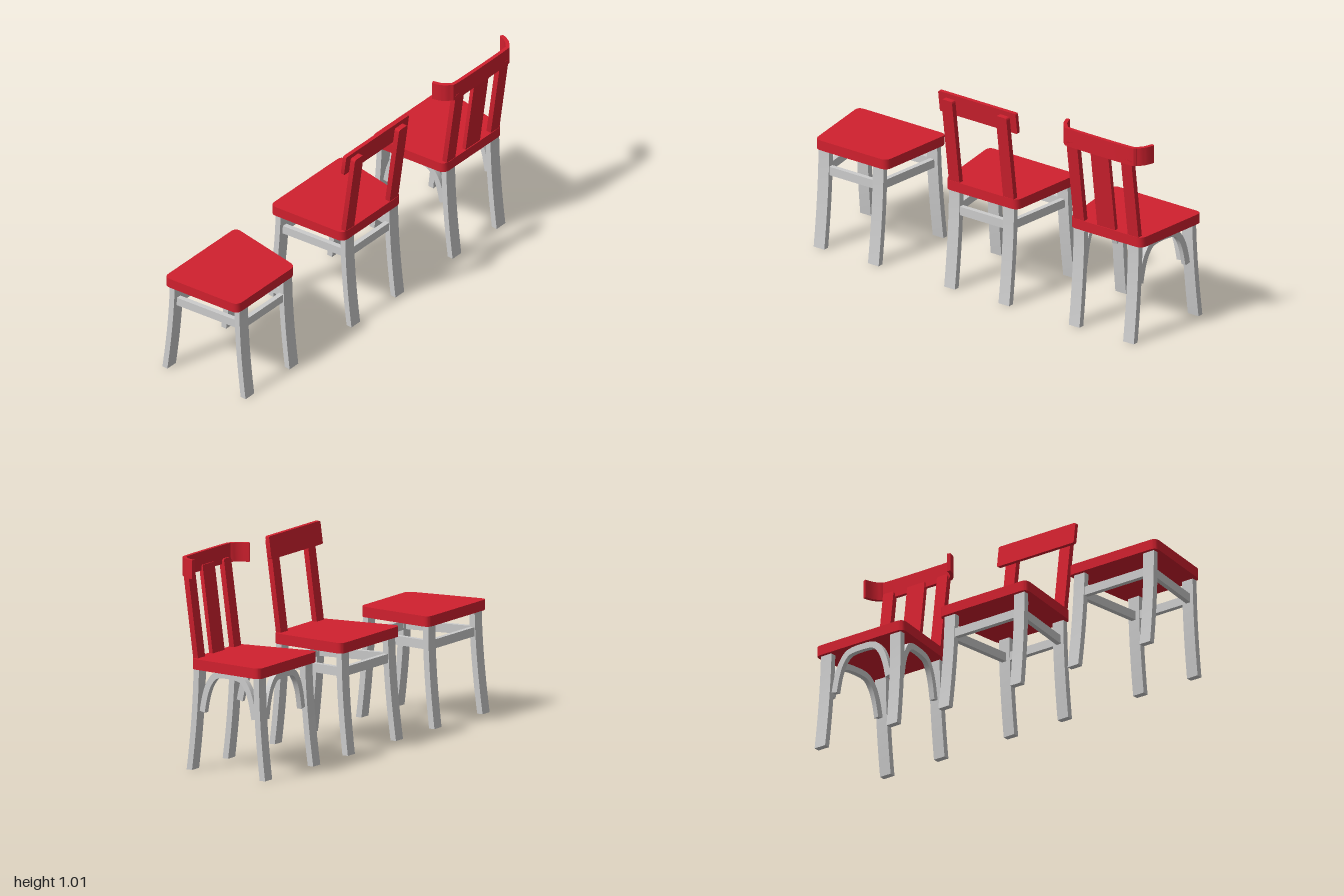
import * as THREE from 'three';
import { toCreasedNormals } from 'three/addons/utils/BufferGeometryUtils.js';

const grey = new THREE.MeshStandardMaterial({ color: 0xcccccc });
const red = new THREE.MeshStandardMaterial({ color: 0xd0202e });

function add(parent, name, geometry, material) {
  const mesh = new THREE.Mesh(toCreasedNormals(geometry, 0.6), material);
  mesh.name = name;
  parent.add(mesh);
  return mesh;
}

const extrude = (shape, depth) =>
  new THREE.ExtrudeGeometry(shape, { depth, bevelEnabled: false, curveSegments: 6 });

// Polygon with every corner rounded by distance r
function roundedShape(corners, r) {
  const pts = corners.map(([x, y]) => new THREE.Vector2(x, y));
  const shape = new THREE.Shape();
  const toward = (a, b) => b.clone().sub(a).setLength(r).add(a);
  pts.forEach((p, i) => {
    const a = toward(p, pts[(i + pts.length - 1) % pts.length]);
    const b = toward(p, pts[(i + 1) % pts.length]);
    if (i === 0) shape.moveTo(a.x, a.y);
    else shape.lineTo(a.x, a.y);
    shape.quadraticCurveTo(p.x, p.y, b.x, b.y);
  });
  shape.closePath();
  return shape;
}

// Band of constant thickness following a mirrored half profile
function bandShape(half, thickness) {
  const pts = [...half, ...half.map(([x, y]) => [-x, y]).reverse()];
  const curve = new THREE.SplineCurve(pts.map(([x, y]) => new THREE.Vector2(x, y)));
  const outer = [], inner = [];
  for (let i = 0; i <= 32; i++) {
    const p = curve.getPoint(i / 32), t = curve.getTangent(i / 32);
    const n = new THREE.Vector2(-t.y, t.x).multiplyScalar(thickness / 2);
    outer.push(p.clone().add(n));
    inner.push(p.clone().sub(n));
  }
  return new THREE.Shape([...outer, ...inner.reverse()]);
}

function addSeat(chair) {
  const shape = roundedShape([[-0.258, -0.22], [0.258, -0.22], [0.208, 0.19], [-0.208, 0.19]], 0.035);
  const g = extrude(shape, 0.05);
  g.rotateX(Math.PI / 2).translate(0, 0.535, 0);
  add(chair, 'seat', g, red);
}

// Legs sweep outward toward the floor
function legGeometry(zTop, flare) {
  const edge = [], other = [];
  for (let i = 0; i <= 8; i++) {
    const t = i / 8, y = 0.49 * (1 - t), z = zTop + flare * t ** 1.7;
    edge.push(new THREE.Vector2(z - 0.015, y));
    other.push(new THREE.Vector2(z + 0.015, y));
  }
  return extrude(new THREE.Shape([...edge, ...other.reverse()]), 0.062)
    .rotateY(-Math.PI / 2).translate(0.031, 0, 0);
}

function addLegs(chair) {
  for (const side of [-1, 1]) {
    add(chair, 'frontLeg', legGeometry(0.171, 0.038), grey).position.x = side * 0.158;
    const g = legGeometry(-0.189, -0.039);
    const p = g.attributes.position;
    for (let i = 0; i < p.count; i++) p.setX(i, p.getX(i) + side * (0.49 - p.getY(i)) * 0.016);
    add(chair, 'backLeg', g, grey).position.x = side * 0.203;
  }
}

const SIDE_ANGLE = 0.13;

function addStretchers(chair) {
  const bar = (name, length) => add(chair, name, new THREE.BoxGeometry(length, 0.043, 0.024), grey);
  bar('frontStretcher', 0.29).position.set(0, 0.39, 0.172);
  bar('backStretcher', 0.38).position.set(0, 0.39, -0.19);
  for (const side of [-1, 1]) {
    const m = bar('sideStretcher', 0.35);
    m.position.set(side * 0.182, 0.39, -0.01);
    m.rotation.y = Math.PI / 2 - side * SIDE_ANGLE;
  }
}

// Bent braces under the sides and the back edge
function addArches(chair) {
  const half = [[-0.157, 0.28], [-0.138, 0.365], [-0.108, 0.43], [-0.06, 0.466]];
  const arch = (name) =>
    add(chair, name, extrude(bandShape(half, 0.031), 0.026).translate(0, 0, -0.013), grey);
  arch('backArch').position.z = -0.19;
  for (const side of [-1, 1]) {
    const m = arch('sideArch');
    m.position.set(side * 0.182, 0, -0.01);
    m.rotation.y = Math.PI / 2 - side * SIDE_ANGLE;
  }
}

// Upright board that leans with the backrest
function addBoard(chair, name, x, halfWidth, y0, y1, z, depth, r) {
  const shape = roundedShape(
    [[x - halfWidth, y0], [x + halfWidth, y0], [x + halfWidth, y1], [x - halfWidth, y1]], r);
  const g = extrude(shape, depth);
  const p = g.attributes.position;
  for (let i = 0; i < p.count; i++) p.setZ(i, p.getZ(i) + z + (p.getY(i) - 0.53) * 0.136);
  add(chair, name, g, red);
}

function addPosts(chair, top) {
  for (const side of [-1, 1]) addBoard(chair, 'backPost', side * 0.158, 0.031, 0.515, top, 0.16, 0.027, 0.012);
}

function makeChair(name, x) {
  const chair = new THREE.Group();
  chair.name = name;
  chair.position.x = x;
  addSeat(chair);
  addLegs(chair);
  return chair;
}

export function createModel() {
  const model = new THREE.Group();
  model.name = 'seatingSet';

  const stool = makeChair('stool', -0.742);
  addStretchers(stool);

  // Chair with a flat top board
  const plain = makeChair('plainChair', 0.017);
  addStretchers(plain);
  addPosts(plain, 0.97);
  addBoard(plain, 'topBoard', 0, 0.225, 0.887, 0.995, 0.14, 0.02, 0.008);

  // Chair with a bent top rail and a centre splat
  const bent = makeChair('bentChair', 0.742);
  addArches(bent);
  addPosts(bent, 0.95);
  addBoard(bent, 'centreSplat', 0, 0.052, 0.515, 0.95, 0.165, 0.02, 0.006);
  const rail = bandShape([[-0.247, 0.15], [-0.232, 0.192], [-0.205, 0.222], [-0.16, 0.235]], 0.018);
  add(bent, 'topRail', extrude(rail, 0.09).rotateX(Math.PI / 2).translate(0, 1.014, 0), red);

  model.add(stool, plain, bent);
  return model;
}
